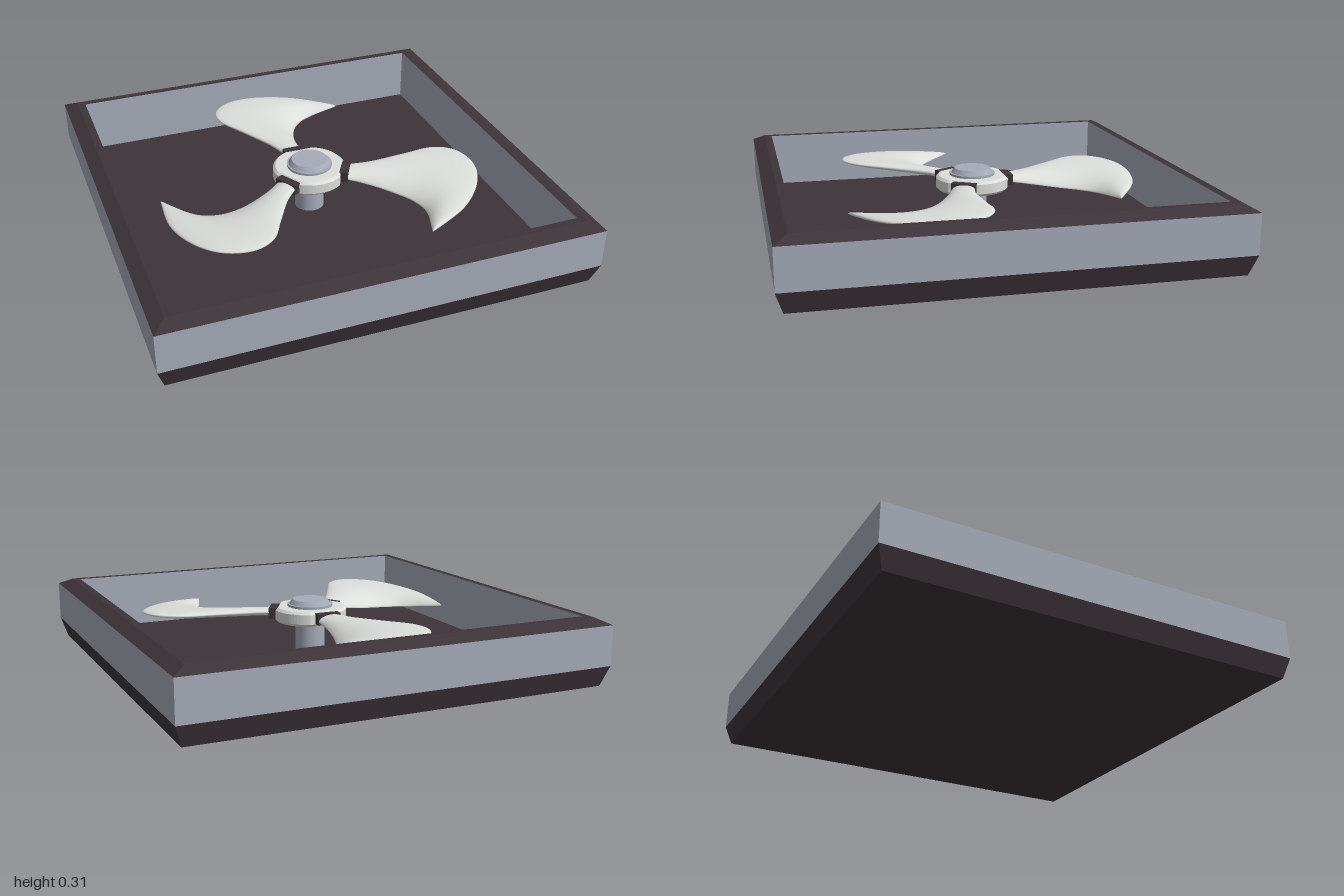
import * as THREE from 'three';

const darkPlastic = new THREE.MeshStandardMaterial({ name: 'dark plastic', color: 0x3d343a });
const greyMetal = new THREE.MeshStandardMaterial({ name: 'grey metal', color: 0xa6abb8 });
const whitePaint = new THREE.MeshStandardMaterial({ name: 'off-white', color: 0xdcdedb });

function add(parent, name, geometry, material) {
  const mesh = new THREE.Mesh(geometry, material);
  mesh.name = name;
  parent.add(mesh);
  return mesh;
}

const points = (list) => list.map(([x, y]) => new THREE.Vector2(x, y));

// Four-sided flat-shaded turning; profile is [half width, height]
function squareTurn(profile) {
  const pts = points(profile.map(([w, y]) => [w * Math.SQRT2, y]));
  const geometry = new THREE.LatheGeometry(pts, 4, Math.PI / 4).toNonIndexed();
  geometry.computeVertexNormals();
  return geometry;
}

// Disc with three flats where the blades meet it
function hubGeometry() {
  const bevel = 0.012;
  const outline = [];
  for (let i = 0; i < 72; i++) {
    const angle = (i / 72) * Math.PI * 2;
    const third = (Math.PI * 2) / 3;
    const off = ((angle - Math.PI / 2 + third * 2.5) % third) - third / 2;
    const r = Math.min(0.175, 0.158 / Math.cos(off)) - bevel;
    outline.push([Math.cos(angle) * r, Math.sin(angle) * r]);
  }
  const geometry = new THREE.ExtrudeGeometry(new THREE.Shape(points(outline)), {
    depth: 0.046, bevelEnabled: true, bevelSize: bevel, bevelThickness: bevel, bevelSegments: 1,
  });
  return geometry.rotateX(-Math.PI / 2).translate(0, 0.207, 0);
}

// Blade lofted from elliptical sections between its two edges, [x, z] from root to tip
function bladeGeometry() {
  const bulge = new THREE.SplineCurve(points([
    [-0.07, -0.19], [-0.11, -0.29], [-0.2, -0.44], [-0.275, -0.57], [-0.265, -0.69],
    [-0.16, -0.78], [0, -0.8], [0.19, -0.75], [0.385, -0.62],
  ]));
  const hollow = new THREE.SplineCurve(points([
    [0.045, -0.175], [0.04, -0.25], [0.05, -0.34], [0.07, -0.42], [0.105, -0.5],
    [0.16, -0.56], [0.225, -0.59], [0.3, -0.605], [0.385, -0.62],
  ]));
  const rows = 48, sides = 32;
  const position = [], index = [];
  for (let i = 0; i <= rows; i++) {
    const u = i / rows;
    const a = bulge.getPoint(u), b = hollow.getPoint(u);
    const thick = 0.02 * Math.sqrt(Math.max(0, 1 - u ** 4));
    const droop = 0.045 * Math.sin(Math.PI * u);
    for (let j = 0; j < sides; j++) {
      const t = (j / sides) * Math.PI * 2;
      const v = (1 - Math.cos(t)) / 2;
      const p = a.clone().lerp(b, v);
      // pitched across the width, folding down along the hollow edge
      const y = 0.235 - 0.08 * p.x - droop * v ** 6 + thick * Math.sin(t);
      position.push(p.x, y, p.y);
      if (i < rows) {
        const k = i * sides + j, n = i * sides + ((j + 1) % sides);
        index.push(k, n, k + sides, n, n + sides, k + sides);
      }
    }
  }
  const geometry = new THREE.BufferGeometry();
  geometry.setAttribute('position', new THREE.Float32BufferAttribute(position, 3));
  geometry.setIndex(index);
  geometry.computeVertexNormals();
  return geometry;
}

export function createModel() {
  const model = new THREE.Group();
  model.name = 'framedPropeller';

  // Square tray
  const tray = new THREE.Group();
  tray.name = 'tray';
  model.add(tray);
  add(tray, 'base', squareTurn([[0, 0], [0.97, 0], [1, 0.095]]), darkPlastic);
  add(tray, 'outerWalls', squareTurn([[1, 0.095], [1, 0.28]]), greyMetal);
  add(tray, 'rim', squareTurn([[1, 0.28], [0.94, 0.31], [0.905, 0.31]]), darkPlastic);
  add(tray, 'innerWalls', squareTurn([[0.905, 0.31], [0.905, 0.045]]), greyMetal);
  add(tray, 'floor', squareTurn([[0.905, 0.045], [0, 0.045]]), darkPlastic);

  // Shaft, hub and cap
  const propeller = new THREE.Group();
  propeller.name = 'propeller';
  model.add(propeller);
  const shaft = new THREE.CylinderGeometry(0.07, 0.07, 0.2, 40);
  add(propeller, 'shaft', shaft.translate(0, 0.145, 0), greyMetal);
  add(propeller, 'hub', hubGeometry(), whitePaint);
  const collar = new THREE.CylinderGeometry(0.108, 0.108, 0.012, 48);
  add(propeller, 'capCollar', collar.translate(0, 0.27, 0), greyMetal);
  const cap = new THREE.CylinderGeometry(0.085, 0.1, 0.022, 48);
  add(propeller, 'cap', cap.translate(0, 0.287, 0), greyMetal);

  // Three blades, each on a dark root block
  const blade = bladeGeometry();
  const root = new THREE.BoxGeometry(0.115, 0.05, 0.05).translate(-0.0125, 0.235, -0.168);
  for (let i = 0; i < 3; i++) {
    const arm = new THREE.Group();
    arm.name = 'bladeArm';
    arm.rotation.y = (i * Math.PI * 2) / 3;
    add(arm, 'blade', blade, whitePaint);
    add(arm, 'bladeRoot', root, darkPlastic);
    propeller.add(arm);
  }
  return model;
}
